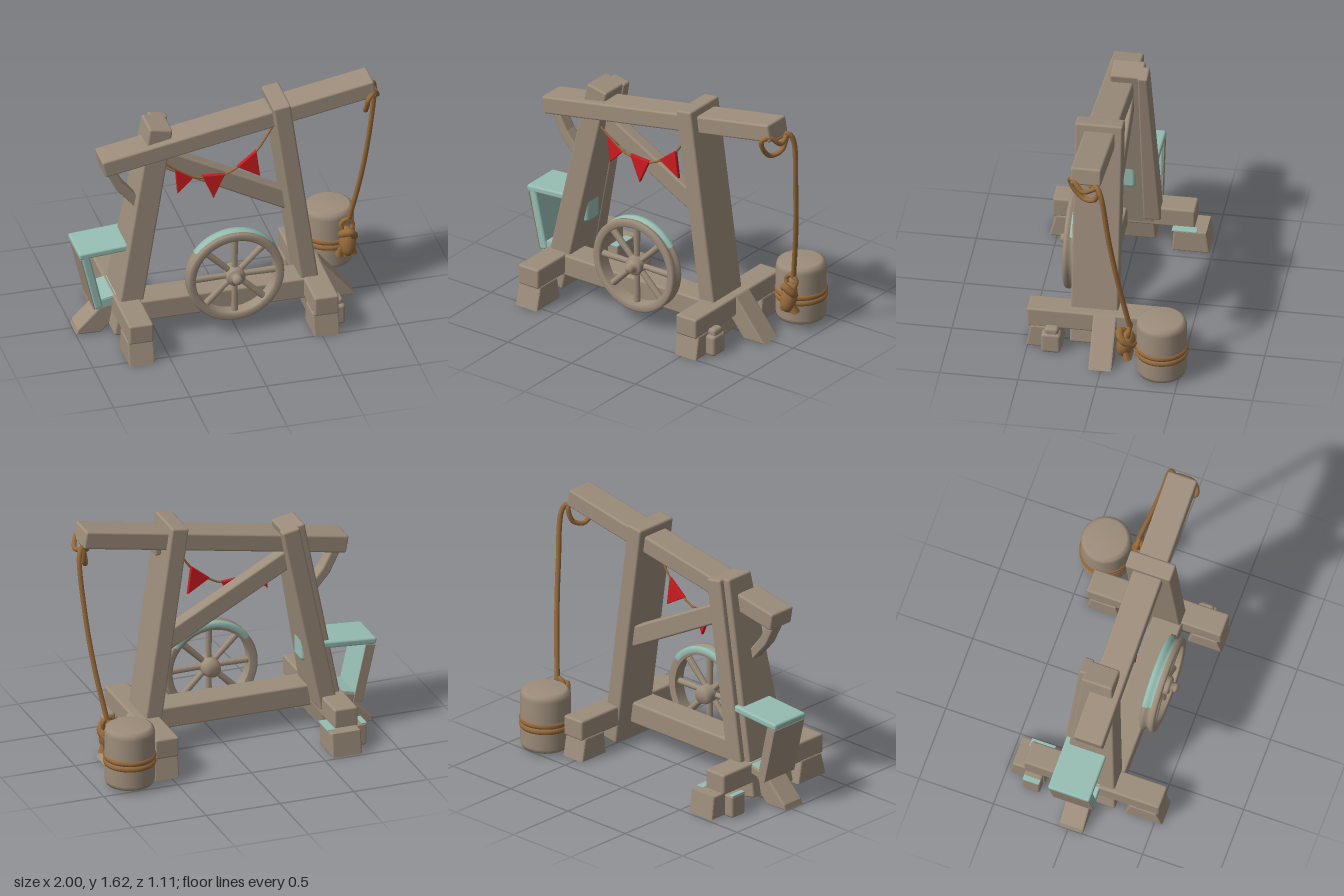
import * as THREE from 'three';
import { RoundedBoxGeometry } from 'three/addons/geometries/RoundedBoxGeometry.js';

const paint = (name, color) => {
  const m = new THREE.MeshStandardMaterial({ color });
  m.name = name;
  return m;
};

export function createModel() {
  const wood = paint('weathered wood', 0x9d8d7b);
  const rope = paint('rope', 0x966a3b);
  const teal = paint('faded teal', 0x96bdb2);
  teal.side = THREE.DoubleSide;
  const red = paint('red cloth', 0xcc1c20);
  const model = new THREE.Group();

  const add = (name, geo, mat = wood, parent = model) => {
    const mesh = new THREE.Mesh(geo, mat);
    mesh.name = name;
    parent.add(mesh);
    return mesh;
  };
  // Box given by its limits on each axis
  const block = (name, [x0, x1], [y0, y1], [z0, z1], mat = wood, r = 0.014) => {
    const w = x1 - x0, h = y1 - y0, d = z1 - z0;
    const m = add(name, new RoundedBoxGeometry(w, h, d, 2, Math.min(r, w / 3, h / 3, d / 3)), mat);
    m.position.set((x0 + x1) / 2, (y0 + y1) / 2, (z0 + z1) / 2);
    return m;
  };
  // Timber from a to b in the xy plane, w thick, spanning z0..z1;
  // its far end may grow by the amounts in flare at the back and front
  const timber = (name, a, b, w, [z0, z1], mat = wood, flare = [0, 0]) => {
    const dx = b[0] - a[0], dy = b[1] - a[1], len = Math.hypot(dx, dy);
    const geo = new RoundedBoxGeometry(w, len, z1 - z0, 2, Math.min(0.014, w / 3, (z1 - z0) / 3));
    const p = geo.attributes.position;
    for (let i = 0; i < p.count; i++) {
      const t = p.getY(i) / len + 0.5, z = p.getZ(i);
      p.setZ(i, z + t * (z > 0 ? flare[1] : -flare[0]));
    }
    const m = add(name, geo, mat);
    m.position.set((a[0] + b[0]) / 2, (a[1] + b[1]) / 2, (z0 + z1) / 2);
    m.rotation.z = Math.atan2(-dx, dy);
    return m;
  };
  // Bevelled prism from an outline
  const prism = (pts, depth, bevel = 0.01) => {
    const shape = new THREE.Shape(pts.map(p => new THREE.Vector2(...p)));
    return new THREE.ExtrudeGeometry(shape, {
      depth: depth - 2 * bevel, bevelEnabled: true, bevelThickness: bevel,
      bevelSize: bevel, bevelOffset: -bevel, bevelSegments: 2,
    }).translate(0, 0, bevel);
  };
  const tube = (name, pts, r, closed = false) => {
    const curve = new THREE.CatmullRomCurve3(pts.map(p => new THREE.Vector3(...p)), closed);
    return add(name, new THREE.TubeGeometry(curve, 48, r, 8, closed), rope);
  };

  // Main frame
  timber('topBeam', [-0.84, 1.24], [0.938, 1.561], 0.118, [-0.02, 0.175]);
  timber('rightPost', [0.31, 1.56], [0.526, 0.025], 0.115, [-0.07, 0.235]);
  timber('leftPost', [-0.45, 1.45], [-0.714, 0.035], 0.155, [-0.08, 0.125], wood, [0.05, 0.115]);
  timber('leftBackBoard', [-0.42, 1.445], [-0.66, 0.2], 0.12, [-0.115, -0.05], wood, [0.05, 0]);
  timber('diagonalBrace', [-0.45, 1.21], [0.4, 0.755], 0.125, [-0.02, 0.07]);
  timber('beamPeg', [0.435, 1.365], [0.435, 1.44], 0.045, [0, 0.08]);
  block('baseBeam', [-0.65, 0.5], [0.13, 0.275], [0.05, 0.245]);

  // Curved strut under the low end of the beam
  add('curvedStrut', prism([[-0.83, 1.22], [-0.74, 1.04], [-0.61, 0.89], [-0.6, 0.97],
    [-0.69, 1.08], [-0.77, 1.23]], 0.09)).position.z = 0.03;

  // Cross bars, end feet and slanting side feet
  block('leftCrossBar', [-0.77, -0.61], [0.145, 0.28], [-0.38, 0.53]);
  block('rightCrossBar', [0.45, 0.61], [0.145, 0.28], [-0.4, 0.505]);
  const endFoot = (name, x, w, pts) => {
    add(name, prism(pts, w).rotateY(-Math.PI / 2)).position.x = x + w;
  };
  endFoot('leftFrontFoot', -0.775, 0.17, [[0.3, 0], [0.55, 0], [0.51, 0.155], [0.33, 0.155]]);
  endFoot('rightFrontFoot', 0.445, 0.17, [[0.28, 0], [0.51, 0], [0.48, 0.155], [0.31, 0.155]]);
  endFoot('leftBackFoot', -0.76, 0.2, [[-0.48, 0], [-0.24, 0], [-0.25, 0.155], [-0.46, 0.155]]);
  endFoot('rightBackFoot', 0.445, 0.17, [[-0.4, 0], [-0.18, 0], [-0.2, 0.155], [-0.37, 0.155]]);
  add('rightSideFoot', prism([[0.54, 0.28], [0.61, 0.275], [0.83, 0.005], [0.67, 0],
    [0.54, 0.16]], 0.15)).position.z = -0.07;
  add('leftSideFoot', prism([[-0.7, 0.26], [-0.7, 0.13], [-0.84, 0], [-1, 0.005],
    [-0.99, 0.04], [-0.78, 0.25]], 0.16)).position.z = -0.06;

  // Small stakes beside the feet
  block('rightStake', [0.6, 0.68], [0, 0.14], [0.28, 0.405], wood, 0.02);
  block('rightStakeTop', [0.61, 0.67], [0.12, 0.18], [0.295, 0.385], wood, 0.02);
  block('leftStake', [-0.835, -0.76], [0, 0.15], [-0.37, -0.25], wood, 0.015);
  block('leftStakeCap', [-0.835, -0.8], [0.145, 0.154], [-0.365, -0.255], teal, 0.002);
  block('footPatch', [-0.61, -0.555], [0.15, 0.159], [-0.4, -0.24], teal, 0.002);

  // Open teal trough strapped to the left post, with bare outer side, back edge and underside
  timber('troughTop', [-0.99, 0.597], [-0.6, 0.625], 0.045, [-0.14, 0.14], teal);
  timber('troughSide', [-0.95, 0.6], [-0.86, 0.2], 0.055, [-0.132, 0.14], teal);
  timber('troughOuterBoard', [-0.979, 0.575], [-0.89, 0.195], 0.008, [-0.138, 0.136]);
  timber('troughBackEdge', [-0.947, 0.58], [-0.86, 0.195], 0.06, [-0.139, -0.131]);
  timber('troughFloor', [-0.88, 0.215], [-0.72, 0.25], 0.06, [-0.128, 0.12]);
  timber('floorFrontEdge', [-0.88, 0.215], [-0.72, 0.25], 0.06, [0.119, 0.128], teal);
  timber('floorLining', [-0.87, 0.25], [-0.72, 0.283], 0.008, [-0.12, 0.125], teal);
  block('troughClip', [-0.62, -0.525], [0.475, 0.64], [-0.015, 0.125], teal, 0.025);

  // Spoked wheel
  const wheel = new THREE.Group();
  wheel.name = 'wheel';
  wheel.position.set(-0.015, 0.408, 0);
  model.add(wheel);
  const turned = (name, pts, mat, start = 0, len = Math.PI * 2) => add(name,
    new THREE.LatheGeometry(pts.map(p => new THREE.Vector2(...p)), 48, start, len)
      .rotateX(Math.PI / 2), mat, wheel);
  turned('wheelRim', [[0.262, 0.24], [0.3, 0.232], [0.315, 0.24], [0.315, 0.262], [0.3, 0.268],
    [0.3, 0.292], [0.316, 0.298], [0.316, 0.32], [0.304, 0.33], [0.272, 0.328],
    [0.262, 0.318], [0.262, 0.24]], wood);
  turned('rimPaint', [[0.28, 0.233], [0.301, 0.229], [0.318, 0.238], [0.318, 0.264],
    [0.303, 0.27], [0.303, 0.291]], teal, Math.PI * 0.7, Math.PI * 0.6);
  turned('wheelHub', [[0, 0.2], [0.05, 0.2], [0.062, 0.24], [0.062, 0.325], [0.05, 0.338],
    [0.03, 0.34], [0.032, 0.37], [0.022, 0.385], [0, 0.388]], wood);
  for (let i = 0; i < 8; i++) {
    const spoke = add('spoke', new THREE.CylinderGeometry(0.023, 0.019, 0.23, 8)
      .translate(0, 0.16, 0), wood, wheel);
    spoke.position.z = 0.285;
    spoke.rotation.z = i * Math.PI / 4;
  }

  // Hanging barrel weight with rope bands
  const barrel = new THREE.LatheGeometry([[0, 0.008], [0.12, 0.008], [0.15, 0.022], [0.161, 0.05],
    [0.161, 0.37], [0.152, 0.4], [0.13, 0.413], [0, 0.416]].map(p => new THREE.Vector2(...p)), 28);
  add('barrelWeight', barrel).position.set(0.78, 0, -0.385);
  for (const y of [0.172, 0.21]) {
    add('barrelBand', new THREE.TorusGeometry(0.148, 0.022, 8, 36).rotateX(Math.PI / 2), rope)
      .position.set(0.78, y, -0.385);
  }

  // Knot, its frayed ends, and the rope up to the beam
  const knot = add('knot', new THREE.SphereGeometry(1, 16, 12), rope);
  knot.position.set(0.845, 0.25, -0.165);
  knot.scale.set(0.055, 0.1, 0.055);
  knot.rotation.x = -0.3;
  tube('knotWrap', [[0.81, 0.3, -0.17], [0.85, 0.335, -0.125], [0.885, 0.29, -0.15],
    [0.85, 0.25, -0.21]], 0.026, true);
  tube('knotLoop', [[0.82, 0.31, -0.18], [0.81, 0.37, -0.19], [0.85, 0.395, -0.19],
    [0.885, 0.36, -0.19], [0.87, 0.3, -0.18]], 0.015);
  for (const dx of [-0.035, 0, 0.035]) {
    const end = add('frayedEnd', new THREE.ConeGeometry(0.03, 0.13, 7), rope);
    end.position.set(0.84 + dx, 0.21, -0.165);
    end.rotation.set(0.25, 0, dx * 4);
  }
  tube('hangingRope', [[0.9, 1.47, 0.05], [0.96, 1.505, 0], [0.982, 1.46, -0.025],
    [0.965, 1.1, -0.075], [0.925, 0.75, -0.13], [0.86, 0.38, -0.195]], 0.017);
  tube('beamLoop', [[0.95, 1.49, 0], [0.97, 1.47, 0.09], [0.93, 1.53, 0.16], [0.89, 1.5, 0.185],
    [0.885, 1.43, 0.16], [0.895, 1.365, 0.09], [0.93, 1.39, 0.02]], 0.016, true);

  // Bunting
  tube('buntingString', [[-0.42, 1.19, 0.12], [-0.34, 1.13, 0.12], [-0.22, 1.06, 0.12],
    [-0.05, 1.05, 0.12], [0.06, 1.1, 0.12], [0.17, 1.19, 0.12], [0.28, 1.36, 0.12]], 0.007);
  for (const pts of [
    [[-0.36, 1.145], [-0.345, 0.965], [-0.245, 1.065]],
    [[-0.185, 1.07], [-0.11, 0.895], [-0.035, 1.06]],
    [[0.045, 1.1], [0.195, 1.01], [0.17, 1.2]],
  ]) add('flag', prism(pts, 0.026, 0.006), red).position.z = 0.107;

  return model;
}
